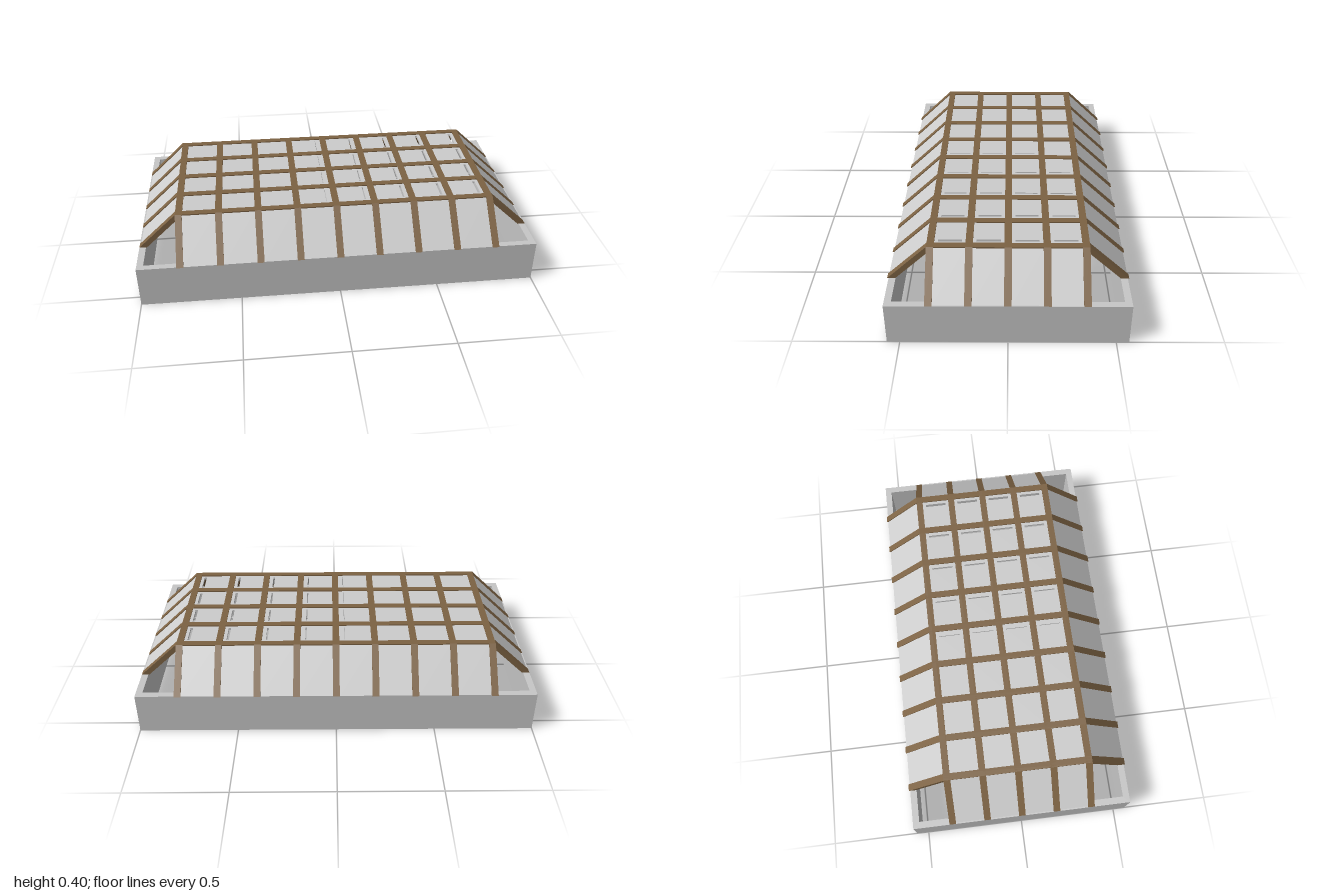
import * as THREE from 'three';

const wall = new THREE.MeshStandardMaterial({ color: 0xc6c6c6 });
wall.name = 'base grey';
const pane = new THREE.MeshStandardMaterial({ color: 0xcccccc });
pane.name = 'panel grey';
const wood = new THREE.MeshStandardMaterial({ color: 0x7c6243 });
wood.name = 'timber brown';

const RIDGE = 0.4, SILL = 0.217;      // heights of the roof deck and the base rim
const BEAM = 0.034, THICK = 0.026;    // timber width and depth
const COLS = 8, ROWS = 4, PX = 0.197, PZ = 0.179;

function add(parent, name, geometry, material, x = 0, y = 0, z = 0) {
  const mesh = new THREE.Mesh(geometry, material);
  mesh.name = name;
  mesh.position.set(x, y, z);
  parent.add(mesh);
  return mesh;
}

function rect(Type, x0, y0, x1, y1) {
  const s = new Type();
  s.moveTo(x0, y0).lineTo(x1, y0).lineTo(x1, y1).lineTo(x0, y1).closePath();
  return s;
}

// Sloped strip: profile runs outward along +x and down, extruded across z
function slopeStrip(run, drop, depth, width) {
  const top = RIDGE - drop, k = (RIDGE - SILL) / run;
  const s = new THREE.Shape();
  s.moveTo(0, top);
  s.lineTo(0, top - depth);
  s.lineTo((top - depth - SILL) / k, SILL);
  s.lineTo((top - SILL) / k, SILL);
  s.closePath();
  return new THREE.ExtrudeGeometry(s, { depth: width, bevelEnabled: false }).translate(0, 0, -width / 2);
}

// One sloping side of the roof: rafters with panels between them
function slope(name, count, pitch, start, run, angle) {
  const side = new THREE.Group();
  side.name = name;
  const rafter = slopeStrip(run, 0, THICK * 1.4, BEAM);
  const panel = slopeStrip(run, 0.006, 0.015, pitch - BEAM);
  for (let i = 0; i <= count; i++) {
    const z = (i - count / 2) * pitch;
    add(side, 'rafter', rafter, wood, start, 0, z);
    if (i < count) add(side, 'slopePanel', panel, pane, start, 0, z + pitch / 2);
  }
  side.rotation.y = angle;
  return side;
}

export function createModel() {
  const model = new THREE.Group();
  model.name = 'framedRoof';

  // Open rectangular base
  const outline = rect(THREE.Shape, -1, -0.56, 1, 0.56);
  outline.holes.push(rect(THREE.Path, -0.967, -0.527, 0.967, 0.527));
  const base = new THREE.ExtrudeGeometry(outline, { depth: SILL, bevelEnabled: false }).rotateX(-Math.PI / 2);
  add(model, 'baseFrame', base, wall);

  // Flat deck: timber lattice
  const deck = new THREE.Group();
  deck.name = 'deck';
  model.add(deck);
  const lenX = COLS * PX + BEAM, lenZ = ROWS * PZ + BEAM;
  const y = RIDGE - THICK / 2;
  for (let i = 0; i <= COLS; i++)
    add(deck, 'crossBeam', new THREE.BoxGeometry(BEAM, THICK, lenZ), wood, (i - COLS / 2) * PX, y, 0);
  for (let j = 0; j <= ROWS; j++)
    add(deck, 'longBeam', new THREE.BoxGeometry(lenX, THICK, BEAM), wood, 0, y, (j - ROWS / 2) * PZ);

  // Deck panels; the +x columns have a narrow slit near one edge
  const w = (PX - BEAM) / 2, h = (PZ - BEAM) / 2;
  for (let i = 0; i < COLS; i++) {
    const shape = rect(THREE.Shape, -w, -h, w, h);
    const slit = [0, 0, 0, 0.003, 0.006, 0.009, 0.012, 0.013][i];
    if (slit) shape.holes.push(rect(THREE.Path, 0.052, -0.056, 0.052 + slit, 0.056));
    const panel = new THREE.ExtrudeGeometry(shape, { depth: 0.012, bevelEnabled: false }).rotateX(-Math.PI / 2);
    for (let j = 0; j < ROWS; j++)
      add(deck, 'deckPanel', panel, pane, (i + 0.5 - COLS / 2) * PX, RIDGE - 0.017, (j + 0.5 - ROWS / 2) * PZ);
  }

  // Four sloping sides, leaving the corners open
  model.add(
    slope('leftSlope', ROWS, PZ, lenX / 2, 1 - lenX / 2, 0),
    slope('rightSlope', ROWS, PZ, lenX / 2, 1 - lenX / 2, Math.PI),
    slope('frontSlope', COLS, PX, lenZ / 2, 0.567 - lenZ / 2, -Math.PI / 2),
    slope('backSlope', COLS, PX, lenZ / 2, 0.567 - lenZ / 2, Math.PI / 2),
  );
  return model;
}
